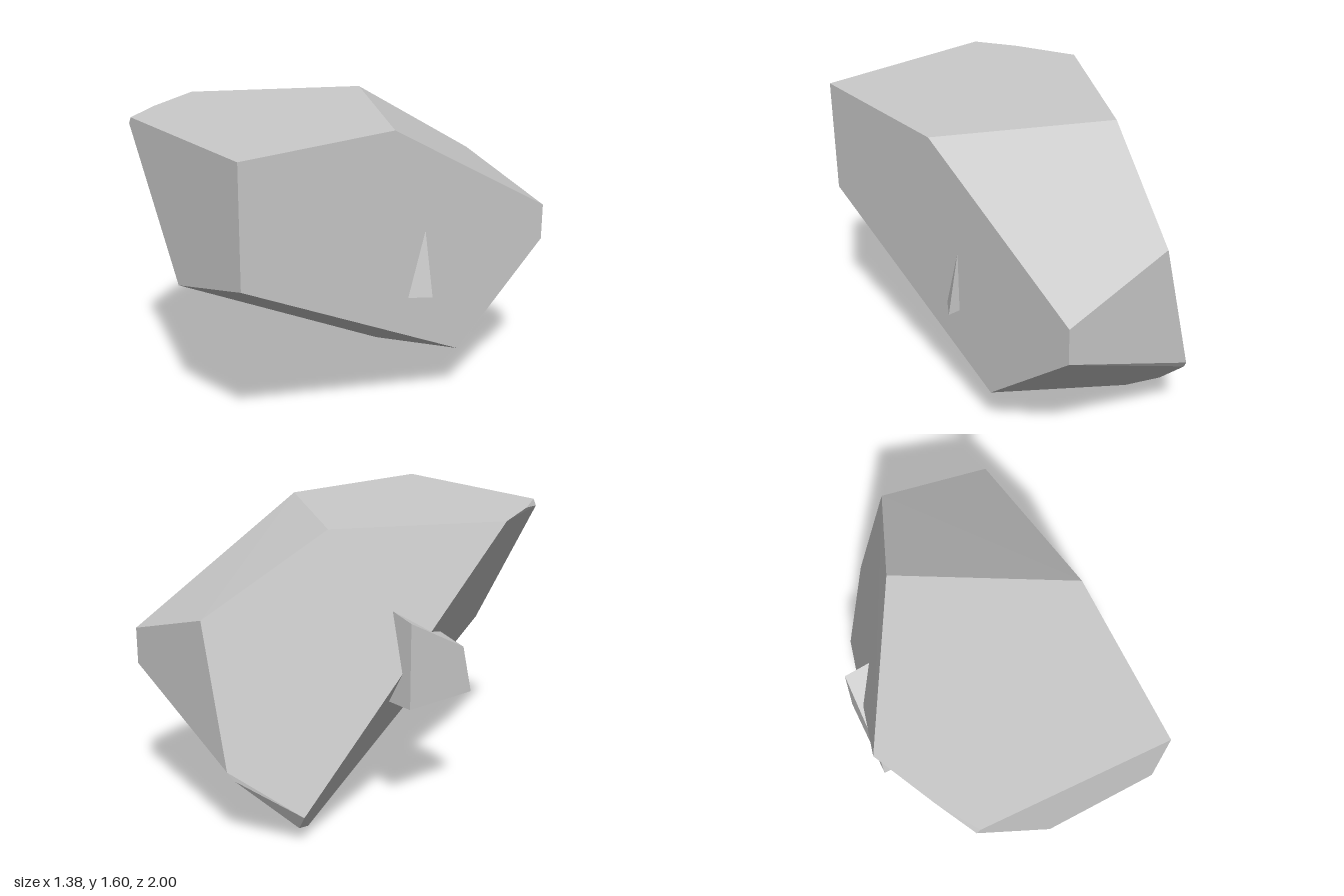
import * as THREE from 'three';
import { ConvexGeometry } from 'three/addons/geometries/ConvexGeometry.js';

// Faceted solid spanned by its corner points
function facetedSolid(name, corners) {
  const points = corners.map(([x, y, z]) => new THREE.Vector3(x, y, z));
  const material = new THREE.MeshStandardMaterial({ color: 0xcccccc, flatShading: true });
  const mesh = new THREE.Mesh(new ConvexGeometry(points), material);
  mesh.name = name;
  return mesh;
}

export function createModel() {
  const group = new THREE.Group();
  group.name = 'rock';

  // Main boulder: cut flat on top, front, back and its left side
  group.add(facetedSolid('boulder', [
    // flat side
    [0.62, 1.6, 1], [0.62, 1.6, 0.08], [0.62, 1.0, -1],
    [0.62, 0.8, -1], [0.62, 0.29, -0.39], [0.62, 0.965, 1],
    // rest of the front
    [0.03, 0.81, 1], [-0.41, 1.565, 1], [-0.39, 1.6, 1],
    // rest of the top
    [-0.53, 1.6, 0.79], [-0.695, 1.6, 0.46], [-0.25, 1.6, -0.37],
    // rest of the back
    [-0.02, 1.19, -1], [-0.21, 0.435, -1],
    // foot with its small chamfer
    [-0.25, 0, -0.52], [-0.37, 0.08, -0.67], [-0.44, 0.17, -0.69], [-0.23, 0.385, -0.97],
  ]));

  // Smaller stone running through the boulder and showing on both sides
  group.add(facetedSolid('embeddedStone', [
    // blunt end
    [-0.625, 0.68, -0.136], [-0.625, 1.145, -0.136], [-0.625, 0.945, 0.24], [-0.625, 0.68, 0.305],
    // pointed end
    [0.69, 0.68, -0.136], [0.54, 1.43, -0.136], [0.40, 1.265, 0.12], [0.43, 0.68, 0.263],
  ]));

  return group;
}
